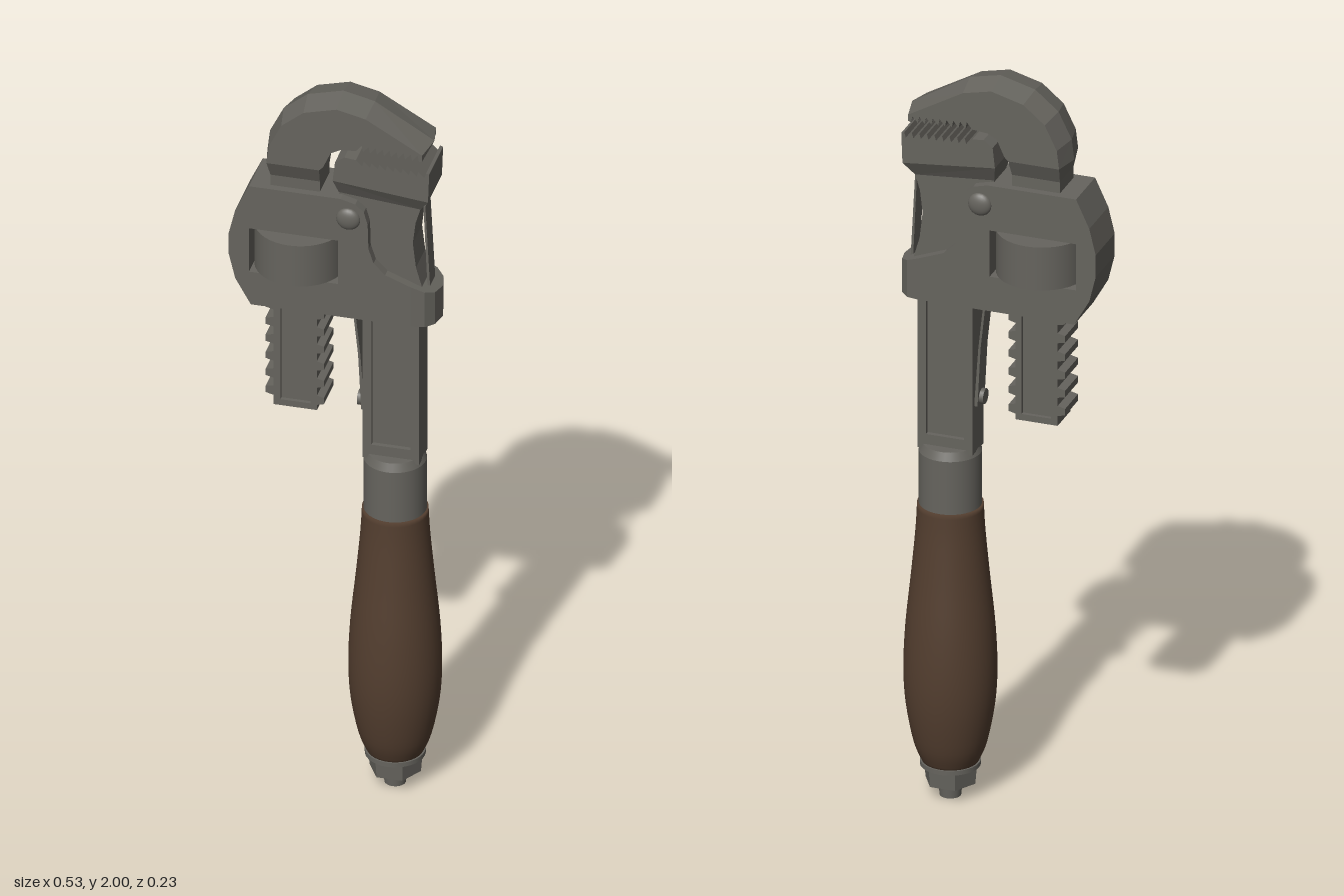
import * as THREE from 'three';

const metal = new THREE.MeshStandardMaterial({ color: 0x66645e });
metal.name = 'dark steel';
const wood = new THREE.MeshStandardMaterial({ color: 0x533e2f });
wood.name = 'brown wood';

const HX = 0.143; // handle axis

export function createModel() {
  const root = new THREE.Group();
  root.name = 'pipeWrench';

  const add = (name, geo, mat = metal, x = 0, y = 0, z = 0) => {
    const m = new THREE.Mesh(geo, mat);
    m.name = name;
    m.position.set(x, y, z);
    root.add(m);
    return m;
  };
  const toShape = (pts) => new THREE.Shape(pts.map(([x, y]) => new THREE.Vector2(x, y)));
  const rect = (x0, y0, x1, y1) => [[x0, y0], [x1, y0], [x1, y1], [x0, y1]];
  // plate with outline in the xy plane, centred on z = 0
  const plate = (pts, half, holes = [], steps = 1) => {
    const s = toShape(pts);
    holes.forEach((h) => s.holes.push(toShape(h)));
    const g = new THREE.ExtrudeGeometry(s, { depth: half * 2, bevelEnabled: false, steps });
    return g.translate(0, 0, -half);
  };
  const reshape = (g, rule) => {
    const p = g.attributes.position;
    const v = new THREE.Vector3();
    for (let i = 0; i < p.count; i++) {
      v.fromBufferAttribute(p, i);
      rule(v);
      p.setXYZ(i, v.x, v.y, v.z);
    }
    g.computeVertexNormals();
    return g;
  };
  // zigzag of n teeth from a to b, offset by h in y
  const teeth = (a, b, n, h) => {
    const out = [];
    for (let i = 0; i <= n; i++) {
      const x = a[0] + ((b[0] - a[0]) * i) / n;
      const y = a[1] + ((b[1] - a[1]) * i) / n;
      out.push([x, y]);
      if (i < n) out.push([x + ((b[0] - a[0]) * 0.2) / n, y + h]);
    }
    return out;
  };
  const lathe = (pts) => new THREE.LatheGeometry(pts.map(([r, y]) => new THREE.Vector2(r, y)), 36);

  // Wooden grip
  const grip = new THREE.SplineCurve([
    [0.07, 0.095], [0.092, 0.15], [0.111, 0.25], [0.117, 0.35],
    [0.112, 0.47], [0.098, 0.61], [0.087, 0.73], [0.083, 0.805],
  ].map(([r, y]) => new THREE.Vector2(r, y))).getPoints(28);
  add('handleGrip', new THREE.LatheGeometry([new THREE.Vector2(0, 0.095), ...grip, new THREE.Vector2(0, 0.805)], 36), wood, HX);

  // Ferrule, washer, nut and bolt end
  add('ferrule', lathe([[0.079, 0.8], [0.079, 0.95], [0.079, 0.95], [0.07, 0.972], [0.07, 0.972], [0, 0.972]]), metal, HX);
  add('washer', new THREE.CylinderGeometry(0.076, 0.076, 0.012, 32), metal, HX, 0.092);
  const nut = new THREE.CylinderGeometry(0.07, 0.066, 0.048, 6).toNonIndexed();
  nut.computeVertexNormals();
  add('endNut', nut, metal, HX, 0.063).rotation.y = Math.PI / 6;
  add('boltEnd', new THREE.CylinderGeometry(0.031, 0.027, 0.045, 20), metal, HX, 0.0225);

  // Handle bar with sunken panels on both faces
  add('barCore', plate(rect(0.075, 0.96, 0.21, 1.4), 0.028));
  add('barFrame', plate(rect(0.07, 0.96, 0.215, 1.4), 0.04, [rect(0.092, 1.0, 0.193, 1.372)]));

  // Neck and heel jaw
  add('neck', plate([
    [0.01, 1.735], [0.03, 1.5], [0.07, 1.38], [0.215, 1.38], [0.228, 1.47],
    [0.208, 1.54], [0.2, 1.61], [0.207, 1.67], [0.222, 1.72],
  ], 0.045));
  const taper = plate([[0, 1.775], [0.01, 1.73], [0.22, 1.712], [0.245, 1.75]], 0.068);
  add('jawTaper', reshape(taper, (v) => { if (v.y < 1.74) v.z *= 0.045 / 0.068; }));
  add('heelJaw', plate([
    [0, 1.775], [0.245, 1.75], [0.248, 1.832],
    ...teeth([0.24, 1.835], [0.06, 1.845], 9, -0.014),
    [0.03, 1.848], [0.006, 1.83],
  ], 0.068));

  // Hook jaw, its outer face rising to a central ridge
  const hook = plate([
    [-0.17, 1.8], [-0.164, 1.85], [-0.132, 1.915], [-0.075, 1.962], [0.01, 1.985],
    [0.085, 1.968], [0.23, 1.885], [0.23, 1.868],
    ...teeth([0.222, 1.865], [0.06, 1.872], 9, 0.018),
    [0.02, 1.868], [-0.005, 1.855], [-0.025, 1.81], [-0.035, 1.8],
  ], 0.068, [], 2);
  add('hookJaw', reshape(hook, (v) => {
    const dx = v.x - 0.01, dy = v.y - 1.8, d = Math.hypot(dx, dy);
    if (Math.abs(v.z) < 0.01 && d > 0.16 && (v.y > 1.88 || v.x < -0.1)) {
      v.x += (dx / d) * 0.015;
      v.y += (dy / d) * 0.015;
    }
  }));
  const hookTaper = plate([[-0.17, 1.8], [-0.165, 1.755], [-0.038, 1.755], [-0.035, 1.8]], 0.068);
  add('hookTaper', reshape(hookTaper, (v) => { if (v.y < 1.78) v.z *= 0.048 / 0.068; }));
  add('hookStem', plate(rect(-0.165, 1.37, -0.038, 1.76), 0.048));

  // Threaded rack under the housing, with sunken panels
  add('rackCore', plate(rect(-0.15, 1.09, -0.05, 1.4), 0.036));
  add('rackFrame', plate(rect(-0.158, 1.083, -0.046, 1.4), 0.046, [rect(-0.14, 1.1, -0.062, 1.39)]));
  for (let i = 0; i < 6; i++) {
    const y = 1.112 + i * 0.05;
    for (const [base, tip] of [[-0.157, -0.178], [-0.047, -0.028]]) {
      const t = y + (base < -0.1 ? 0.012 : 0);
      add('rackTooth', plate([[base, t - 0.014], [tip, t - 0.009], [tip, t + 0.009], [base, t + 0.014]], 0.046));
    }
  }

  // Housing with a window for the adjusting nut
  add('housing', plate([
    [-0.215, 1.725], [-0.25, 1.65], [-0.267, 1.58], [-0.267, 1.52], [-0.25, 1.45], [-0.21, 1.38],
    [0.2, 1.38], [0.2, 1.495], [0.135, 1.52], [0.105, 1.55], [0.092, 1.59], [0.09, 1.66],
    [0.08, 1.695], [0.058, 1.715], [0.02, 1.725],
  ], 0.068, [rect(-0.215, 1.475, 0.014, 1.602)]));

  // Rounded end of the collar around the neck
  const collar = new THREE.ExtrudeGeometry(toShape([
    [0.2, -0.068], [0.235, -0.062], [0.256, -0.04], [0.265, 0], [0.256, 0.04], [0.235, 0.062], [0.2, 0.068],
  ]), { depth: 0.115, bevelEnabled: false });
  collar.rotateX(-Math.PI / 2);
  add('collarEnd', reshape(collar, (v) => { if (v.y > 0.05) v.y -= (v.x - 0.2) * 0.4; }), metal, 0, 1.38);

  add('adjustingNut', new THREE.CylinderGeometry(0.115, 0.115, 0.118, 40), metal, -0.1, 1.539);

  // Domed rivet on each side
  for (const s of [1, -1]) {
    const dome = new THREE.SphereGeometry(0.031, 20, 8, 0, Math.PI * 2, 0, Math.PI / 2);
    dome.scale(1, 0.5, 1).rotateX((s * Math.PI) / 2);
    add('rivet', dome, metal, 0.04, 1.67, s * 0.067);
  }

  // Flat springs beside the neck and the bar
  add('frontSpring', plate([[0.222, 1.71], [0.227, 1.71], [0.24, 1.46], [0.233, 1.46]], 0.025));
  add('rearSpring', plate([[0.038, 1.4], [0.044, 1.4], [0.06, 1.25], [0.071, 1.09], [0.062, 1.09], [0.054, 1.25]], 0.025));
  add('springScrew', new THREE.CylinderGeometry(0.02, 0.02, 0.025, 16), metal, 0.062, 1.11).rotation.z = Math.PI / 2;

  return root;
}
